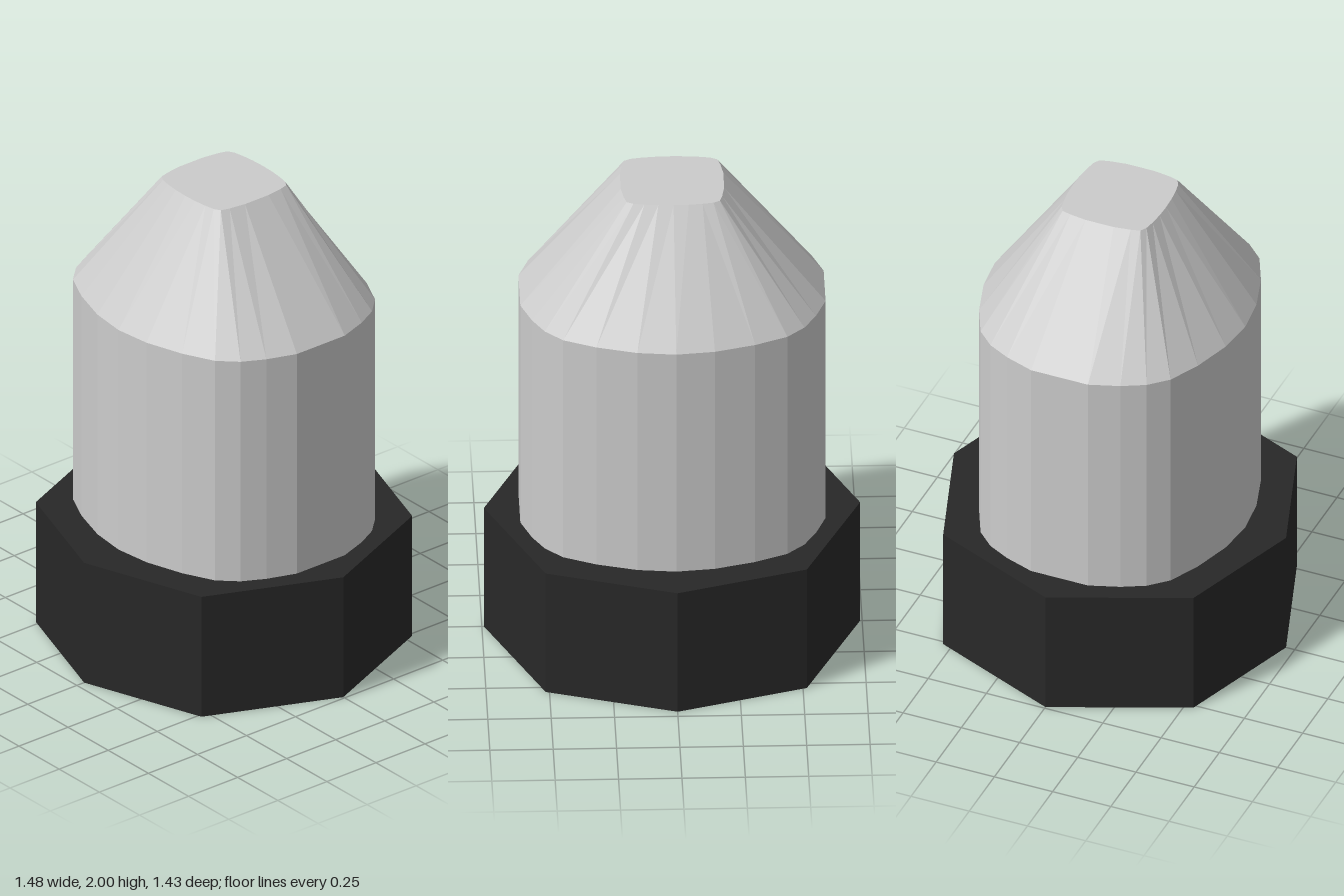
import * as THREE from 'three';

// Mirror a quarter outline (from the z axis towards the x axis) into a full ring.
function fullRing(quarter) {
  const half = [...quarter];
  for (const [x, z] of [...quarter].reverse()) if (z > 0) half.push([x, -z]);
  const other = half.filter(([x]) => x > 0).map(([x, z]) => [-x, z]).reverse();
  return [...half, ...other];
}

// Skin rings of equal length stacked along y, then close the top.
function loft(levels) {
  const pos = [];
  const at = (level, i) => {
    const [x, z] = level.ring[i % level.ring.length];
    return [x, level.y, z];
  };
  const n = levels[0].ring.length;
  for (let k = 0; k < levels.length - 1; k++) {
    const lo = levels[k], hi = levels[k + 1];
    for (let i = 0; i < n; i++) {
      pos.push(...at(lo, i), ...at(lo, i + 1), ...at(hi, i + 1));
      pos.push(...at(lo, i), ...at(hi, i + 1), ...at(hi, i));
    }
  }
  const top = levels[levels.length - 1];
  for (let i = 0; i < n; i++) pos.push(0, top.y, 0, ...at(top, i), ...at(top, i + 1));
  const geo = new THREE.BufferGeometry();
  geo.setAttribute('position', new THREE.Float32BufferAttribute(pos, 3));
  geo.computeVertexNormals();
  return geo;
}

function part(name, geo, color) {
  const mesh = new THREE.Mesh(geo, new THREE.MeshStandardMaterial({
    color, flatShading: true, side: THREE.DoubleSide,
  }));
  mesh.name = name;
  return mesh;
}

export function createModel() {
  const group = new THREE.Group();
  group.name = 'cappedPost';

  // Eight-sided collar, open underneath
  const collar = fullRing([[0, 0.713], [0.515, 0.537], [0.742, 0]]);
  group.add(part('collar', loft([{ y: 0, ring: collar }, { y: 0.535, ring: collar }]), 0x282828));

  // Faceted oval body tapering to a small rounded-square top
  const oval = fullRing([[0, 0.538], [0.153, 0.52], [0.313, 0.47], [0.442, 0.408],
    [0.512, 0.335], [0.56, 0.243], [0.602, 0.122]]);
  const tip = fullRing([[0, 0.198], [0.06, 0.196], [0.115, 0.19], [0.158, 0.182],
    [0.184, 0.167], [0.194, 0.13], [0.204, 0.06]]);
  group.add(part('body', loft([
    { y: 0.51, ring: oval }, { y: 1.515, ring: oval }, { y: 2, ring: tip },
  ]), 0xcccccc));

  return group;
}
